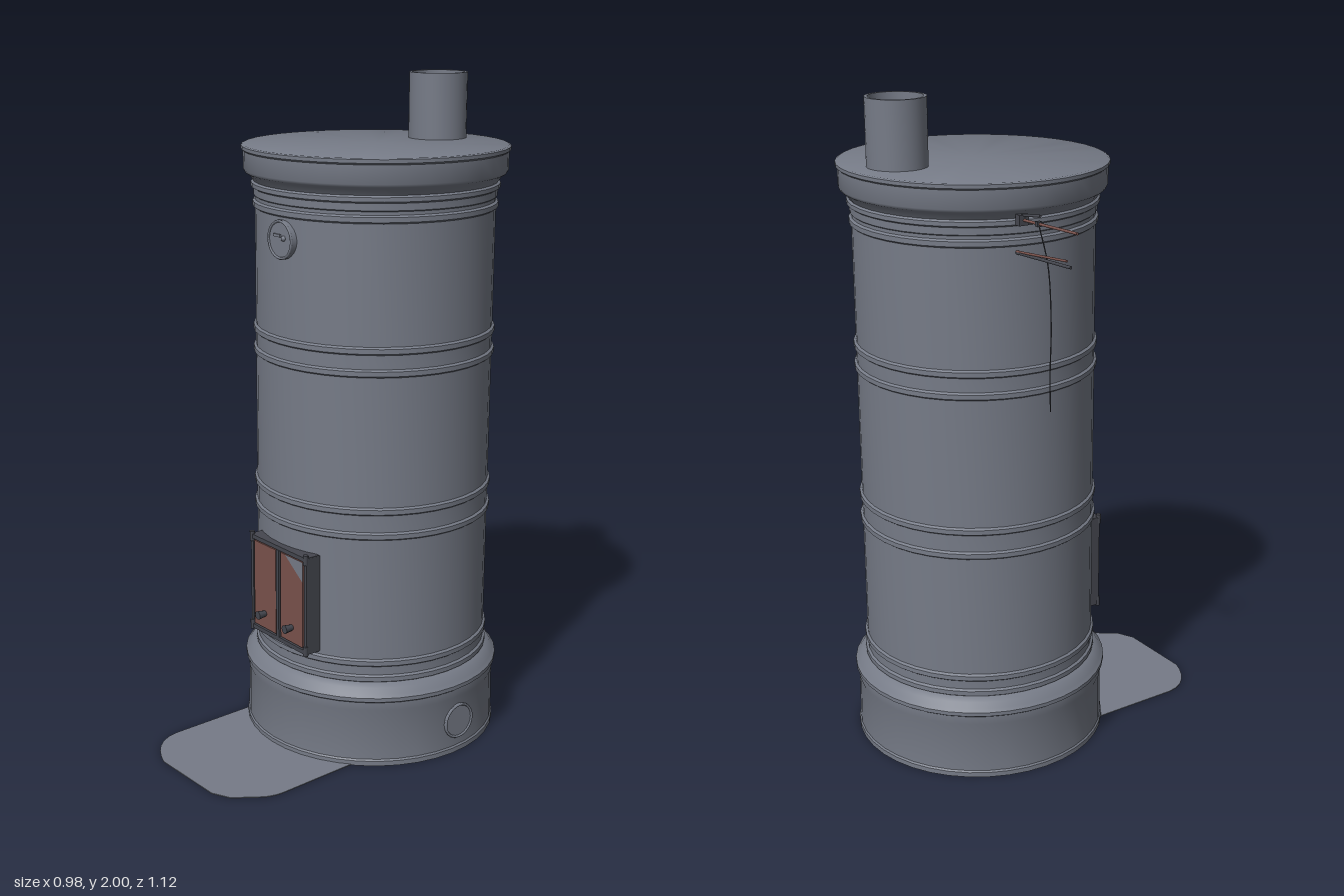
import * as THREE from 'three';
import { toCreasedNormals } from 'three/addons/utils/BufferGeometryUtils.js';

const CX = 0.093, CZ = -0.163; // stove axis

function material(name, color, side = THREE.FrontSide) {
  const m = new THREE.MeshStandardMaterial({ color, side });
  m.name = name;
  return m;
}

export function createModel() {
  const steel = material('grey steel', 0x767b87);
  const rust = material('rusty brown', 0x7a524c);
  const iron = material('dark iron', 0x45474f);
  const model = new THREE.Group();
  model.name = 'columnStove';

  const add = (name, geometry, mat, x = 0, y = 0, z = 0, parent = model) => {
    const mesh = new THREE.Mesh(geometry, mat);
    mesh.name = name;
    mesh.position.set(x, y, z);
    parent.add(mesh);
    return mesh;
  };
  const lathe = (profile, sides) => toCreasedNormals(
    new THREE.LatheGeometry(profile.map(([r, y]) => new THREE.Vector2(r, y)), sides), 0.6);
  const box = (w, h, d) => new THREE.BoxGeometry(w, h, d);
  const rod = (name, from, to, radius, mat, parent) => {
    const a = new THREE.Vector3(...from), b = new THREE.Vector3(...to);
    const mid = a.clone().add(b).multiplyScalar(0.5);
    const mesh = add(name, new THREE.CylinderGeometry(radius, radius, a.distanceTo(b), 8), mat, mid.x, mid.y, mid.z, parent);
    mesh.quaternion.setFromUnitVectors(new THREE.Vector3(0, 1, 0), b.sub(a).normalize());
    return mesh;
  };

  // Plinth with rounded shoulder
  add('base', lathe([
    [0, 0], [0.39, 0], [0.39, 0.015], [0.386, 0.02], [0.384, 0.17], [0.387, 0.18], [0.387, 0.205],
    [0.394, 0.21], [0.394, 0.222], [0.385, 0.232], [0.375, 0.247], [0.362, 0.255], [0.35, 0.262],
  ], 40), steel, CX, 0, CZ);

  // Jacket, with a pair of beads at every joint
  const profile = [[0.355, 0.25]];
  for (const y of [0.268, 0.318, 0.715, 0.79, 1.2, 1.265, 1.635]) {
    profile.push([0.354, y - 0.012], [0.361, y - 0.007], [0.361, y + 0.007], [0.354, y + 0.012]);
  }
  profile.push([0.354, 1.68]);
  add('jacket', lathe(profile, 40), steel, CX, 0, CZ);

  // Stepped cornice and lid
  add('cornice', lathe([
    [0.352, 1.655], [0.358, 1.66], [0.358, 1.68], [0.366, 1.685], [0.366, 1.697], [0.36, 1.702],
    [0.372, 1.72], [0.384, 1.727], [0.388, 1.735], [0.388, 1.788], [0.394, 1.793], [0.394, 1.803],
    [0.388, 1.806], [0, 1.806],
  ], 40), steel, CX, 0, CZ);

  // Open flue pipe
  add('fluePipe', lathe([
    [0.087, 1.8], [0.087, 2], [0.078, 2], [0.078, 1.83], [0.05, 1.815], [0, 1.81],
  ], 32), steel, 0.087, 0, -0.41);

  // Floor plate in front of the stove
  const floor = new THREE.Shape();
  floor.moveTo(-0.145, -0.12);
  floor.lineTo(-0.137, -0.43);
  floor.bezierCurveTo(-0.13, -0.5, -0.07, -0.54, -0.005, -0.56);
  floor.lineTo(0.24, -0.553);
  floor.lineTo(0.295, -0.525);
  floor.lineTo(0.35, -0.445);
  floor.quadraticCurveTo(0.365, -0.415, 0.363, -0.38);
  floor.lineTo(0.352, -0.1);
  floor.closePath();
  const floorGeo = new THREE.ExtrudeGeometry(floor, { depth: 0.003, bevelEnabled: false, curveSegments: 6 });
  floorGeo.rotateX(-Math.PI / 2);
  add('floorPlate', floorGeo, steel);

  // Fire door: box, two leaves, frame, hinges and knobs
  const door = new THREE.Group();
  door.name = 'fireDoor';
  model.add(door);
  add('doorBox', box(0.258, 0.296, 0.06), rust, 0.105, 0.492, 0.173, door);
  for (const y of [0.346, 0.638]) add('frameRail', box(0.274, 0.013, 0.05), iron, 0.105, y, 0.187, door);
  for (const x of [-0.027, 0.237]) {
    add('frameStile', box(0.011, 0.3, 0.05), iron, x, 0.492, 0.184, door);
    for (const y of [0.35, 0.638]) add('hinge', new THREE.CylinderGeometry(0.008, 0.008, 0.03, 10), iron, x, y, 0.208, door);
  }
  for (const x of [0.039, 0.171]) add('doorLeaf', box(0.108, 0.27, 0.008), rust, x, 0.492, 0.206, door);
  add('centreBar', box(0.012, 0.28, 0.012), iron, 0.105, 0.492, 0.207, door);
  for (const x of [0.038, 0.172]) {
    const knob = add('knob', new THREE.CylinderGeometry(0.013, 0.009, 0.028, 12), iron, x, 0.405, 0.224, door);
    knob.rotation.x = Math.PI / 2;
  }
  const corner = new THREE.Shape([[0.14, 0.627], [0.225, 0.565], [0.225, 0.627]].map(p => new THREE.Vector2(...p)));
  add('bareCorner', new THREE.ShapeGeometry(corner), steel, 0, 0, 0.2108, door);

  // Round covers: one high on the front, one low on the left side of the base
  const cover = (name, r, depth) => {
    const g = new THREE.Group();
    g.name = name;
    model.add(g);
    add('disc', new THREE.CylinderGeometry(r, r, depth, 28).rotateX(Math.PI / 2), steel, 0, 0, 0, g);
    add('rim', new THREE.TorusGeometry(r - 0.003, 0.004, 6, 28), steel, 0, 0, depth / 2, g);
    return g;
  };
  const vent = cover('ventCover', 0.056, 0.03);
  vent.position.set(0.11, 1.56, 0.185);
  add('ventTab', box(0.03, 0.008, 0.008), steel, -0.01, 0.012, 0.016, vent);
  add('ventKnob', new THREE.SphereGeometry(0.008, 10, 8), steel, 0.018, 0.006, 0.016, vent);
  const ash = cover('ashCover', 0.055, 0.02);
  ash.position.set(CX + 0.378, 0.1, -0.19);
  ash.rotation.y = Math.PI / 2;

  // Damper rods sticking out near the top, with a hanging wire
  const damper = new THREE.Group();
  damper.name = 'damperRods';
  model.add(damper);
  rod('upperRod', [-0.495, 1.7, -0.197], [-0.25, 1.7, -0.232], 0.004, rust, damper);
  rod('upperLever', [-0.35, 1.722, -0.218], [-0.26, 1.71, -0.231], 0.004, iron, damper);
  rod('lowerRod', [-0.47, 1.605, -0.2], [-0.24, 1.605, -0.233], 0.0045, iron, damper);
  rod('lowerLever', [-0.455, 1.62, -0.203], [-0.25, 1.608, -0.232], 0.0035, rust, damper);
  add('rodPlate', box(0.02, 0.03, 0.03), iron, -0.275, 1.7, -0.228, damper);
  add('rodCollar', box(0.012, 0.014, 0.014), iron, -0.343, 1.7, -0.219, damper);
  const wire = new THREE.CatmullRomCurve3([
    [-0.343, 1.7, -0.219], [-0.345, 1.58, -0.19], [-0.353, 1.42, -0.185], [-0.348, 1.27, -0.185], [-0.343, 1.165, -0.18],
  ].map(p => new THREE.Vector3(...p)));
  add('hangingWire', new THREE.TubeGeometry(wire, 24, 0.0018, 5), iron, 0, 0, 0, damper);

  return model;
}
